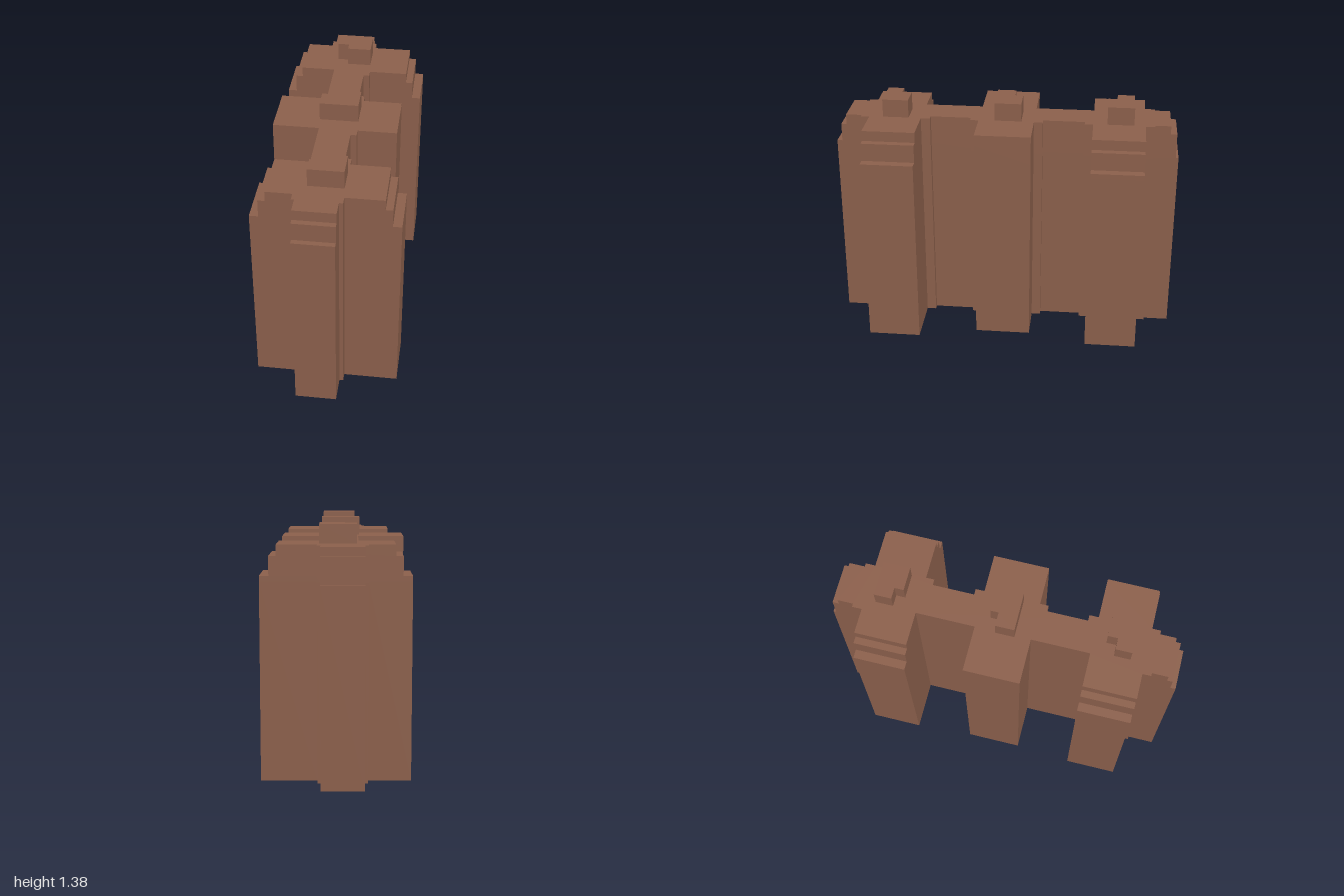
import * as THREE from 'three';

const material = new THREE.MeshStandardMaterial({ color: 0x8b5f4b, flatShading: true });

// Extrudes a plan outline of [x, z] points from height y0 to y1
function slab(name, plan, y0, y1) {
  const shape = new THREE.Shape(plan.map(([x, z]) => new THREE.Vector2(x, -z)));
  const geometry = new THREE.ExtrudeGeometry(shape, { depth: y1 - y0, bevelEnabled: false });
  geometry.rotateX(-Math.PI / 2).translate(0, y0, 0);
  const mesh = new THREE.Mesh(geometry, material);
  mesh.name = name;
  return mesh;
}

// Plan of the block: a spine with three cross wings and a porch at each end.
// wing = half width of the end wings, front and back = reach of the porches
function blockPlan(wing, front, back) {
  const L = -0.122, R = 0.063, tab = 0.097;
  const right = [
    [0.08, back], [0.08, -0.856], [0.1, -0.856], [0.1, -0.8],
    [wing, -0.8], [wing, -0.503], [tab, -0.503], [tab, -0.455], [R, -0.455],
    [R, -0.216], [tab, -0.216], [tab, -0.165], [0.319, -0.165], [0.319, 0.154],
    [tab, 0.154], [tab, 0.202], [R, 0.202], [R, 0.435], [tab, 0.435], [tab, 0.488],
    [wing, 0.488], [wing, 0.789], [0.102, 0.789], [0.102, 0.838], [0.08, 0.838], [0.08, front],
  ];
  const left = [
    [-0.153, front], [-0.153, 0.838], [-0.17, 0.838], [-0.17, 0.789],
    [-wing, 0.789], [-wing, 0.488], [L, 0.488], [L, 0.154],
    [-0.385, 0.154], [-0.385, -0.165], [L, -0.165], [L, -0.503],
    [-wing, -0.503], [-wing, -0.8], [-0.172, -0.8], [-0.172, -0.856], [-0.153, -0.856], [-0.153, back],
  ];
  return [...right, ...left];
}

export function createModel() {
  const group = new THREE.Group();
  group.name = 'apartmentBlock';

  // Storeys that step back near the roof: [name, wing, front, back, top]
  let base = 0;
  for (const [name, wing, front, back, top] of [
    ['mainStoreys', 0.407, 0.992, -0.998, 1.085],
    ['backSetback', 0.407, 0.992, -0.982, 1.115],
    ['lowerSetback', 0.357, 0.962, -0.982, 1.22],
    ['backLedge', 0.317, 0.93, -0.982, 1.23],
    ['topStorey', 0.317, 0.93, -0.945, 1.28],
  ]) {
    group.add(slab(name, blockPlan(wing, front, back), base, top));
    base = top;
  }

  // L-shaped roof houses: x0, x1, notch x, z at the full side, z at the notch step, z at the narrow side
  for (const [name, x0, x1, xn, zFull, zn, zNarrow] of [
    ['frontRoofHouse', -0.105, 0.093, -0.04, 0.709, 0.616, 0.56],
    ['middleRoofHouse', -0.13, 0.09, -0.05, 0.062, -0.046, -0.092],
    ['backRoofHouse', -0.112, 0.09, -0.047, -0.736, -0.636, -0.584],
  ]) {
    const plan = [[x0, zFull], [x1, zFull], [x1, zNarrow], [xn, zNarrow], [xn, zn], [x0, zn]];
    group.add(slab(name, plan, 1.28, 1.385));
  }

  // The block stands slightly turned
  group.rotation.y = 0.043;
  const model = new THREE.Group();
  model.add(group);
  return model;
}
